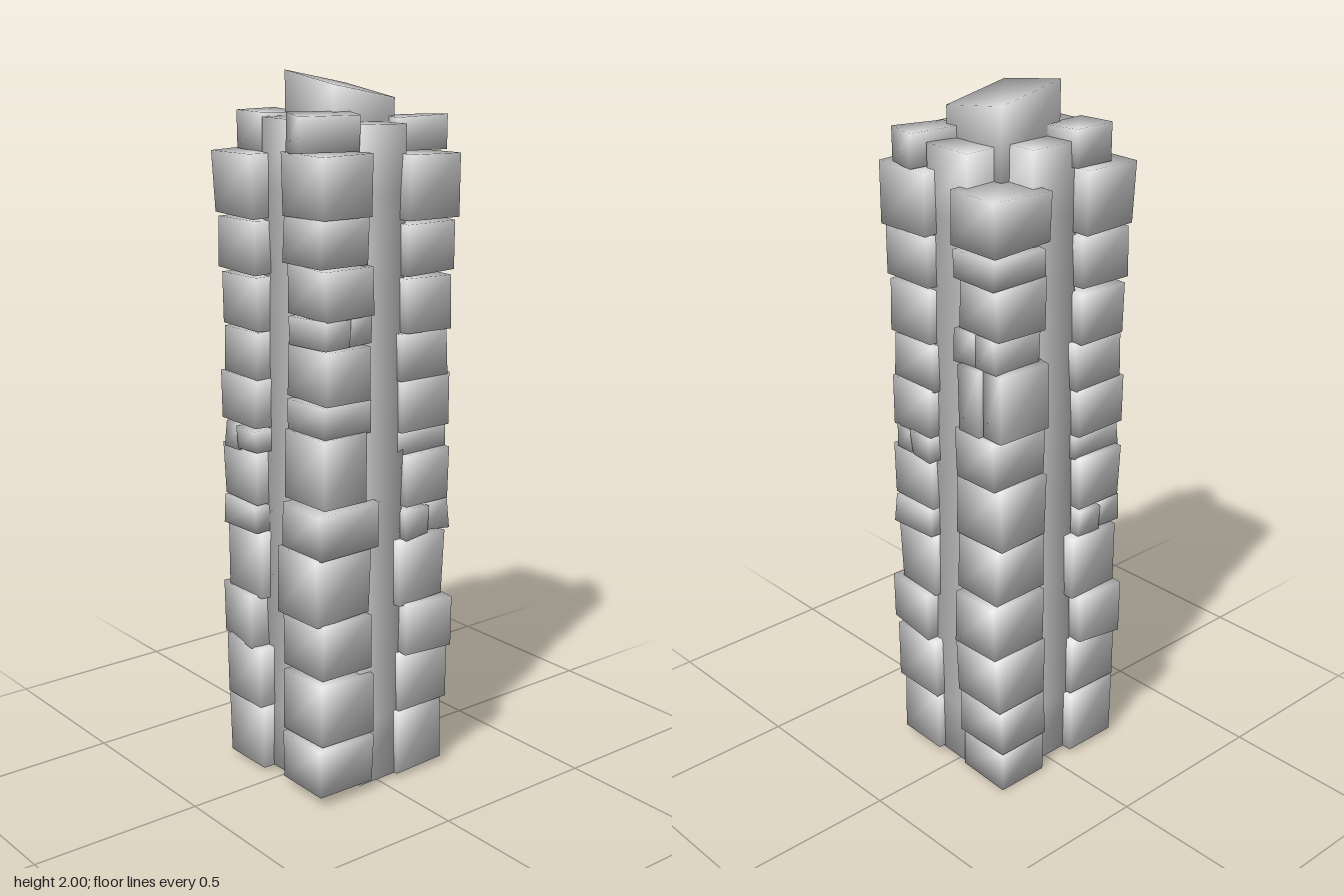
import * as THREE from 'three';
import { mergeVertices } from 'three/addons/utils/BufferGeometryUtils.js';

const material = new THREE.MeshStandardMaterial({ color: 0xcccccc });

let seed = 7;
function rand() {
  seed = (seed * 16807) % 2147483647;
  return seed / 2147483647 - 0.5;
}

// Rough stone: a box with shared corners, shifted a little, smooth shaded
function stone(name, w, h, d, jitter, rows = 1, shape = null) {
  const box = new THREE.BoxGeometry(w, h, d, 1, rows, 1);
  box.deleteAttribute('normal');
  box.deleteAttribute('uv');
  const geo = mergeVertices(box);
  const p = geo.attributes.position;
  for (let i = 0; i < p.count; i++) {
    const v = new THREE.Vector3().fromBufferAttribute(p, i);
    v.x += rand() * jitter;
    v.y += rand() * jitter;
    v.z += rand() * jitter;
    if (shape) shape(v);
    p.setXYZ(i, v.x, v.y, v.z);
  }
  geo.computeVertexNormals();
  const mesh = new THREE.Mesh(geo, material);
  mesh.name = name;
  return mesh;
}

// Courses: [bottom, top, inner x, outer x, inner z, outer z, turn]
const courseA = [
  [0.02, 0.21, 0.05, 0.22, 0.06, 0.22],
  [0.21, 0.39, 0.06, 0.23, 0.06, 0.22],
  [0.39, 0.54, 0.07, 0.225, 0.08, 0.25, -0.12],
  [0.54, 0.73, 0.045, 0.21, 0.07, 0.225],
  [0.73, 0.81, 0.07, 0.15, 0.07, 0.225],
  [0.735, 0.815, 0.15, 0.23, 0.07, 0.22],
  [0.82, 0.97, 0.07, 0.22, 0.07, 0.225],
  [0.97, 1.04, 0.06, 0.235, 0.06, 0.14],
  [0.97, 1.04, 0.06, 0.23, 0.14, 0.21],
  [1.04, 1.18, 0.06, 0.23, 0.06, 0.22],
  [1.18, 1.31, 0.05, 0.22, 0.06, 0.22],
  [1.31, 1.46, 0.06, 0.22, 0.06, 0.23],
  [1.47, 1.61, 0.06, 0.23, 0.06, 0.23],
  [1.62, 1.79, 0.06, 0.235, 0.06, 0.24],
];
const courseB = [
  [0.03, 0.18, 0.05, 0.235, 0.06, 0.23],
  [0.18, 0.36, 0.035, 0.225, 0.05, 0.22],
  [0.38, 0.54, 0.055, 0.22, 0.05, 0.23],
  [0.54, 0.73, 0.05, 0.24, 0.05, 0.22],
  [0.73, 0.86, 0.035, 0.235, 0.06, 0.23],
  [0.87, 1.06, 0.075, 0.22, 0.06, 0.23],
  [1.06, 1.15, 0.05, 0.21, 0.06, 0.22],
  [1.15, 1.3, 0.06, 0.21, 0.06, 0.23],
  [1.3, 1.38, 0.05, 0.13, 0.06, 0.22],
  [1.3, 1.375, 0.13, 0.21, 0.07, 0.23],
  [1.38, 1.51, 0.05, 0.21, 0.06, 0.23],
  [1.51, 1.64, 0.06, 0.22, 0.06, 0.22],
  [1.64, 1.8, 0.055, 0.225, 0.06, 0.23],
];
const courseC = [
  [0.005, 0.14, 0.05, 0.21, 0.04, 0.21],
  [0.14, 0.28, 0.05, 0.22, 0.035, 0.21],
  [0.28, 0.45, 0.05, 0.23, 0.04, 0.21],
  [0.45, 0.61, 0.05, 0.235, 0.035, 0.2],
  [0.62, 0.79, 0.05, 0.22, 0.035, 0.2],
  [0.79, 0.97, 0.05, 0.22, 0.04, 0.21],
  [0.97, 1.11, 0.05, 0.235, 0.05, 0.2],
  [1.11, 1.3, 0.05, 0.235, 0.06, 0.14],
  [1.11, 1.3, 0.05, 0.22, 0.14, 0.215],
  [1.3, 1.39, 0.05, 0.22, 0.035, 0.11],
  [1.3, 1.39, 0.06, 0.22, 0.11, 0.19],
  [1.39, 1.53, 0.05, 0.22, 0.05, 0.2],
  [1.53, 1.61, 0.05, 0.235, 0.045, 0.2],
  [1.62, 1.76, 0.05, 0.235, 0.04, 0.21],
];

// Column of stones in one corner; dx and dz shift it outwards
function column(name, courses, sx, sz, dx = 0, dz = 0) {
  const group = new THREE.Group();
  group.name = name;
  for (const [y0, y1, x0, x1, z0, z1, turn = 0] of courses) {
    const block = stone('cornerStone', x1 - x0, y1 - y0, z1 - z0, 0.01);
    block.position.set(sx * ((x0 + x1) / 2 + dx), (y0 + y1) / 2, sz * ((z0 + z1) / 2 + dz));
    block.rotation.y = turn;
    group.add(block);
  }
  return group;
}

export function createModel() {
  const pillar = new THREE.Group();
  pillar.name = 'stonePillar';

  // Four corner columns, three of them with a cap stone
  pillar.add(
    column('frontLeftColumn', [...courseA, [1.79, 1.885, 0.085, 0.24, 0.09, 0.172, -0.17]], 1, 1),
    column('frontRightColumn', [...courseB, [1.8, 1.9, 0.06, 0.23, 0.09, 0.18, -0.29]], -1, 1),
    column('backRightColumn', [...courseA, [1.79, 1.89, 0.045, 0.175, 0.095, 0.21]], -1, -1, 0.01, -0.015),
    column('backLeftColumn', courseC, 1, -1),
  );

  // Cross-shaped core showing in the grooves between the columns
  const arms = [
    ['frontCoreSlab', 0, 0.1, 0.15, 0.21, 1.87],
    ['backCoreSlab', 0, -0.09, 0.155, 0.175, 1.86],
    ['leftCoreSlab', 0.1, 0.013, 0.195, 0.155, 1.85],
    ['rightCoreSlab', -0.095, 0.005, 0.19, 0.155, 1.88],
  ];
  for (const [name, x, z, w, d, top] of arms) {
    const slab = stone(name, w, top - 0.015, d, 0.006, 10);
    slab.position.set(x, (top + 0.015) / 2, z);
    pillar.add(slab);
  }

  // Sloping broken top, highest at its back right corner
  const cap = stone('slopingCap', 0.205, 0.24, 0.21, 0.004, 1, (v) => {
    if (v.y < 0) return;
    v.y = 0.12 - (v.x > 0 ? 0.04 : 0) - (v.z > 0 ? 0.03 : 0);
  });
  cap.position.set(0.003, 1.88, 0.015);
  pillar.add(cap);

  return pillar;
}
